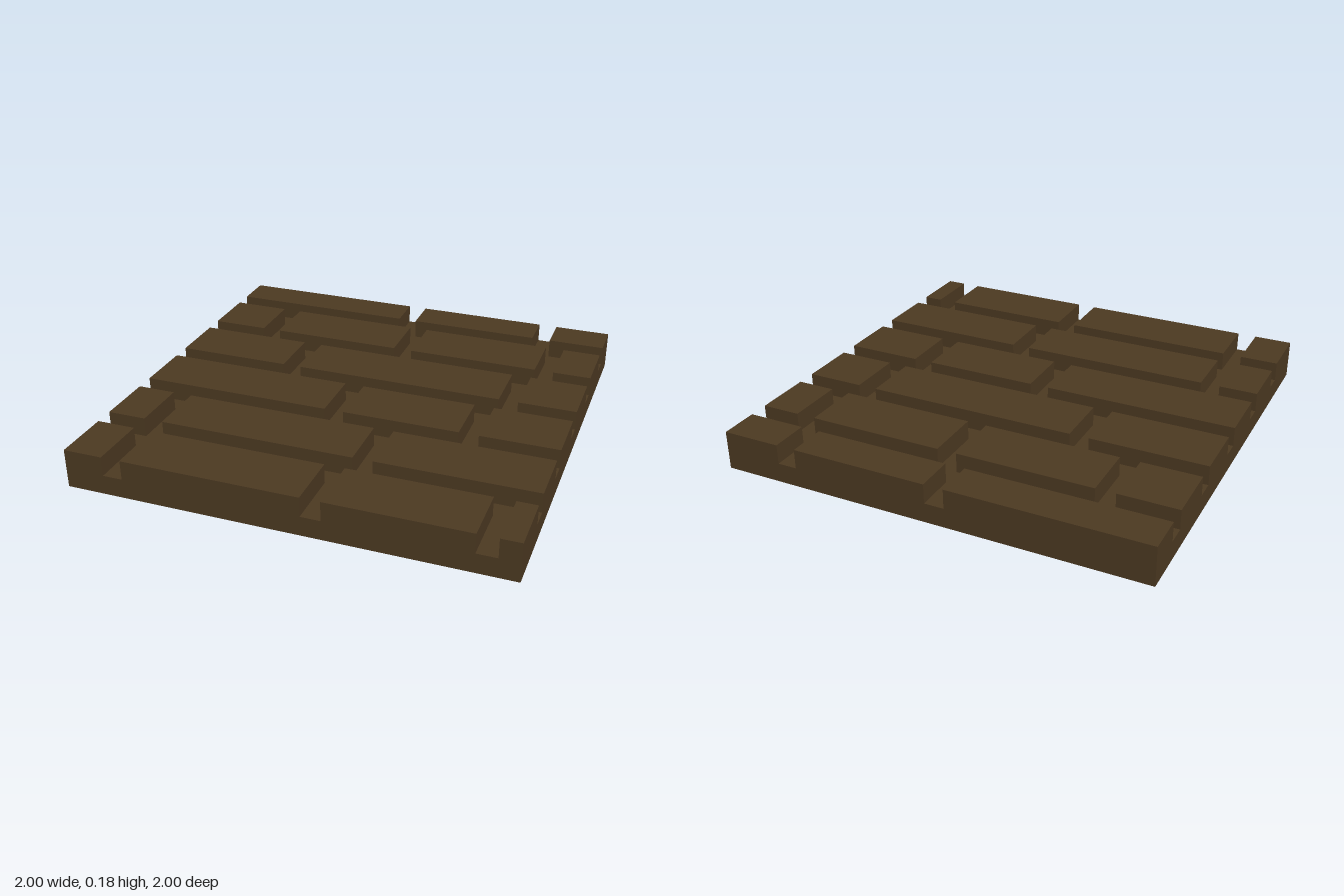
import * as THREE from 'three';

// The slab is laid out on a 22 x 22 grid; one cell is also the joint width.
const CELLS = 22;
const U = 2 / CELLS;

// Each course of bricks: start and end cell along z, and the cells of its joints along x.
const COURSES = [
  { z: [0, 2], joints: [10, 18] },
  { z: [3, 6], joints: [3, 11, 19] },
  { z: [7, 10], joints: [6, 18] },
  { z: [11, 14], joints: [10, 17] },
  { z: [15, 18], joints: [2, 13] },
  { z: [19, 22], joints: [2, 12, 20] },
];

export function createModel() {
  const model = new THREE.Group();
  model.name = 'brickSlab';

  const brown = new THREE.MeshStandardMaterial({ color: 0x4d3a22 });
  brown.name = 'dark brown';

  // Box between grid cells, one cell high, standing on the given layer
  const addBlock = (parent, name, x0, x1, z0, z1, layer) => {
    const mesh = new THREE.Mesh(new THREE.BoxGeometry((x1 - x0) * U, U, (z1 - z0) * U), brown);
    mesh.name = name;
    mesh.position.set(((x0 + x1) / 2) * U - 1, (layer + 0.5) * U, ((z0 + z1) / 2) * U - 1);
    parent.add(mesh);
  };

  // Solid base, visible as the floor of the joints
  addBlock(model, 'base', 0, CELLS, 0, CELLS, 0);

  // Raised bricks, course by course from back to front
  COURSES.forEach(({ z, joints }, row) => {
    const course = new THREE.Group();
    course.name = `course${row + 1}`;
    let start = 0;
    [...joints, CELLS].forEach((end, i) => {
      addBlock(course, `brick${i + 1}`, start, end, z[0], z[1], 1);
      start = end + 1;
    });
    model.add(course);
  });

  return model;
}
